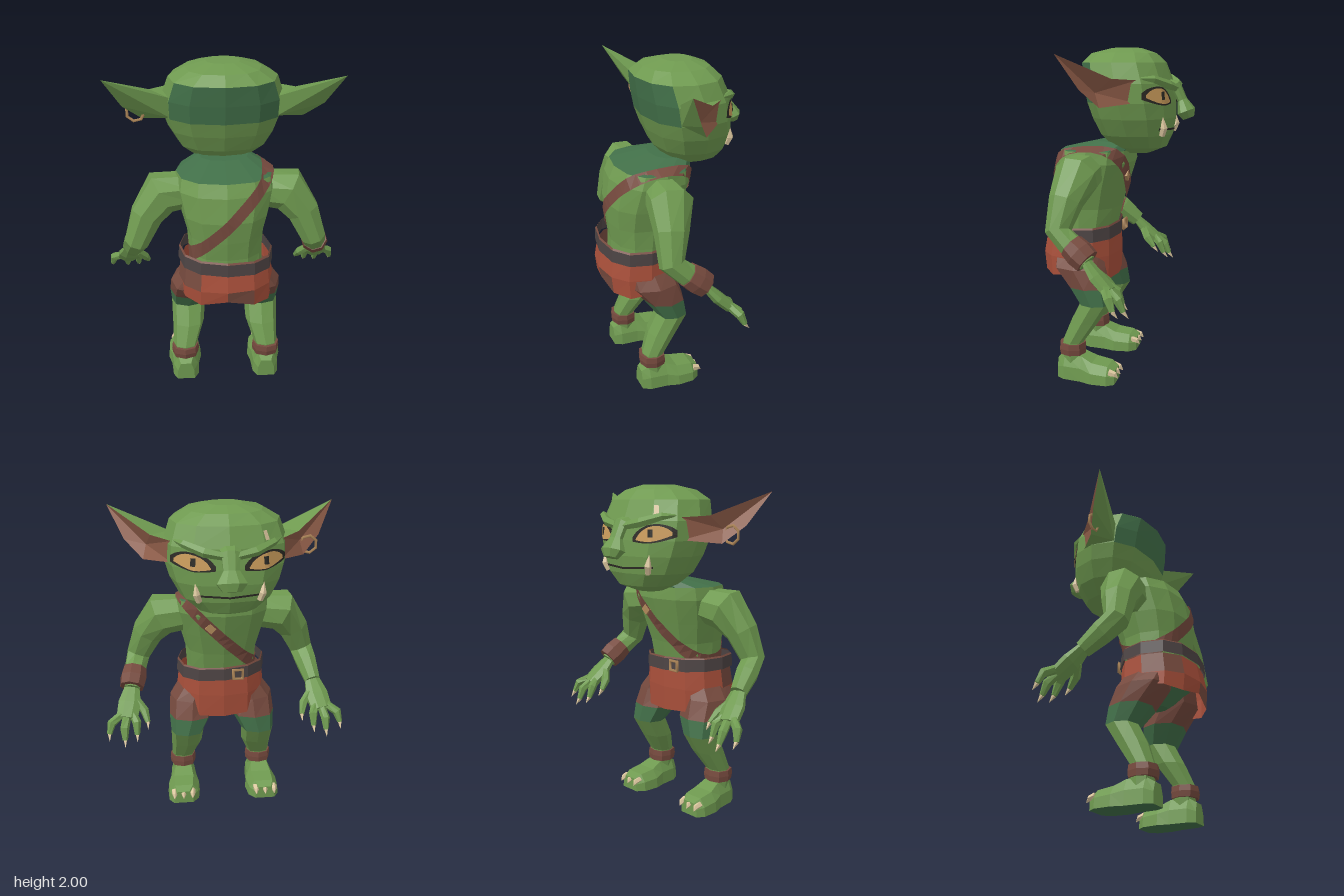
import * as THREE from 'three';

const V = (x, y, z) => new THREE.Vector3(x, y, z);
const mat = (name, color, side = THREE.FrontSide) => {
  const m = new THREE.MeshStandardMaterial({ color, side });
  m.name = name;
  return m;
};

// Faceted geometry from a list of triangle corners
function facets(points) {
  const g = new THREE.BufferGeometry().setFromPoints(points);
  g.computeVertexNormals();
  return g;
}

// Skin over a list of rings; pick(row, column) selects faces
function loft(rings, { caps = true, pick = () => true } = {}) {
  const out = [], n = rings[0].length;
  for (let i = 0; i < rings.length - 1; i++) for (let j = 0; j < n; j++) {
    if (!pick(i, j)) continue;
    const k = (j + 1) % n, a = rings[i][j], b = rings[i][k], c = rings[i + 1][k], d = rings[i + 1][j];
    out.push(a, d, b, b, d, c);
  }
  if (caps) [rings[0], rings[rings.length - 1]].forEach((r, e) => {
    const mid = r.reduce((s, p) => s.add(p), V(0, 0, 0)).divideScalar(n);
    r.forEach((p, j) => { const q = r[(j + 1) % n]; e ? out.push(mid, q, p) : out.push(mid, p, q); });
  });
  return facets(out);
}

// Horizontal ring: height, centre x, half width, back z, front z
function flatRing([y, cx, rx, back, front], n = 12, pow = 0.85) {
  const soft = v => Math.sign(v) * Math.abs(v) ** pow;
  return Array.from({ length: n }, (_, j) => {
    const a = j / n * Math.PI * 2;
    return V(cx + rx * soft(Math.cos(a)), y, (back + front) / 2 + (back - front) / 2 * soft(Math.sin(a)));
  });
}

// Limb along points [x, y, z, radius]
function limb(pts, n = 8, ref = V(0, 0, 1), flat = 1) {
  const c = pts.map(p => V(p[0], p[1], p[2]));
  return loft(c.map((p, i) => {
    const t = c[Math.min(i + 1, c.length - 1)].clone().sub(c[Math.max(i - 1, 0)]).normalize();
    const u = ref.clone().addScaledVector(t, -ref.dot(t)).normalize(), v = u.clone().cross(t);
    return Array.from({ length: n }, (_, j) => {
      const a = (j + 0.5) / n * Math.PI * 2, r = pts[i][3];
      return p.clone().addScaledVector(u, Math.cos(a) * r).addScaledVector(v, Math.sin(a) * r * flat);
    });
  }));
}

export function createModel() {
  const root = new THREE.Group();
  root.name = 'goblin';
  const DS = THREE.DoubleSide;
  const green = mat('skin green', 0x6f9a50, DS), teal = mat('dark green', 0x427049);
  const brown = mat('leather brown', 0x764a3e, DS), red = mat('cloth red', 0xa84f3a, DS);
  const earBrown = mat('ear brown', 0x8e5c48, DS), belt = mat('belt charcoal', 0x4c4343, DS);
  const bone = mat('bone', 0xd9c49c), amber = mat('eye amber', 0xcb9c5c, DS);
  const gold = mat('dull gold', 0xb0885a), dark = mat('dark line', 0x2c2a25, DS);
  const add = (name, g, m) => {
    const mesh = new THREE.Mesh(g, m);
    mesh.name = name;
    root.add(mesh);
    return mesh;
  };
  const ray = new THREE.Raycaster();
  const hit = (target, from, dir, off) => {
    ray.set(from, dir.clone().negate());
    const h = ray.intersectObjects(target, false)[0];
    return (h ? h.point.clone() : from.clone().addScaledVector(dir, -1.75)).addScaledVector(dir, off);
  };

  // Head with dark band at the back
  const headRings = [
    [1.385, 0, 0.08, -0.05, -0.2], [1.425, 0, 0.18, 0.02, -0.3], [1.5, 0, 0.27, 0.09, -0.335],
    [1.6, 0, 0.325, 0.135, -0.35], [1.69, 0, 0.352, 0.165, -0.345], [1.8, 0, 0.355, 0.185, -0.33],
    [1.915, 0, 0.315, 0.2, -0.285], [1.97, 0, 0.22, 0.15, -0.23], [2, 0, 0.1, 0.03, -0.14]].map(r => flatRing(r));
  const band = (i, j) => (i === 4 || i === 5) && j >= 1 && j <= 4;
  const head = add('head', loft(headRings, { pick: (i, j) => !band(i, j) }), green);
  add('headBand', loft(headRings, { caps: false, pick: band }), teal);

  // Thin face details that follow the head; a is the angle from the face centre
  function faceDetail(name, m, a0, a1, lo, hi, off) {
    const nx = 10, ny = 3, out = [];
    const at = (i, j) => {
      const t = i / nx, a = a0 + (a1 - a0) * t, y = lo(t) + (hi(t) - lo(t)) * j / ny;
      const dir = V(Math.sin(a), 0, -Math.cos(a));
      return hit([head], V(0, y, -0.08).addScaledVector(dir, 2), dir, off);
    };
    const s = a1 > a0 ? 1 : -1;
    for (let i = 0; i < nx; i++) for (let j = 0; j < ny; j++) {
      const a = at(i, j), b = at(i + 1, j), c = at(i + 1, j + 1), d = at(i, j + 1);
      s > 0 ? out.push(a, d, b, b, d, c) : out.push(a, b, d, b, c, d);
    }
    add(name, facets(out), m);
  }
  faceDetail('mouth', dark, -0.75, 0.75, t => 1.525 + 0.02 * Math.abs(t - 0.5), t => 1.537 + 0.02 * Math.abs(t - 0.5), 0.005);
  faceDetail('browScar', bone, -0.87, -0.77, t => 1.835, t => 1.885, 0.006);

  // Nose: root, bridge, bulb
  add('nose', limb([[0, 1.785, -0.3, 0.07], [0, 1.785, -0.35, 0.055], [0, 1.7, -0.39, 0.048],
    [0, 1.635, -0.415, 0.09], [0, 1.595, -0.43, 0.055]], 8, V(1, 0, 0), 0.6), green);

  // Torso with dark nape, leaning forward
  const torsoRings = [[0.78, 0, 0.22, 0.38, 0.05], [0.93, 0, 0.22, 0.375, 0.01], [1.05, 0, 0.228, 0.39, -0.02],
    [1.18, 0, 0.262, 0.4, -0.06], [1.33, 0, 0.295, 0.375, -0.105], [1.405, 0, 0.285, 0.34, -0.1]].map(r => flatRing(r));
  const torso = add('torso', loft(torsoRings), green);
  const nape = add('nape', loft([torsoRings[5], flatRing([1.455, 0, 0.15, 0.12, -0.12])]), teal);

  // Strap from the +x shoulder to the -x hip
  const strap = [], C = V(0.02, 1.18, 0.16), U = V(0.69, 0.72, 0), W = V(-0.72, 0.69, 0);
  const strapPoint = (k, e) => {
    const a = k / 32 * Math.PI * 2, dir = U.clone().multiplyScalar(Math.cos(a)).add(V(0, 0, Math.sin(a)));
    return hit([torso, nape], C.clone().addScaledVector(W, e * 0.035).addScaledVector(dir, 2), dir, 0.012);
  };
  for (let k = 0; k < 32; k++) {
    const a = strapPoint(k, -1), b = strapPoint(k + 1, -1), c = strapPoint(k + 1, 1), d = strapPoint(k, 1);
    strap.push(a, d, b, b, d, c);
  }
  add('shoulderStrap', facets(strap), brown);
  const clasp = add('strapClasp', new THREE.BoxGeometry(0.045, 0.05, 0.02), gold);
  clasp.position.copy(strapPoint(26, 0));
  clasp.rotation.z = -0.8;

  // Belt, buckle and ragged cloth
  const tilt = ring => ring.map(p => V(p.x, p.y - 0.04 * p.x, p.z));
  add('belt', loft([[0.87, 0, 0.285, 0.455, -0.015], [0.945, 0, 0.28, 0.45, -0.01]].map(r => tilt(flatRing(r))), { caps: false }), belt);
  add('beltTrim', loft([[0.945, 0, 0.28, 0.45, -0.01], [0.955, 0, 0.272, 0.442, -0.004]].map(r => tilt(flatRing(r))), { caps: false }), brown);
  const buckle = add('buckle', new THREE.TorusGeometry(0.042, 0.012, 4, 4).rotateZ(Math.PI / 4), gold);
  buckle.position.set(-0.09, 0.91, -0.016);
  const hem = [0.66, 0.64, 0.65, 0.69, 0.66, 0.68, 0.7, 0.66, 0.62, 0.61, 0.61, 0.64];
  const cloth = [[0.6, 0, 0.285, 0.45, -0.005], [0.76, 0, 0.285, 0.462, -0.01], [0.88, 0, 0.272, 0.44, -0.004]].map(r => flatRing(r));
  cloth[0].forEach((p, j) => { p.y = hem[j]; });
  const patch = (i, j) => i === 1 ? j === 4 || j === 5 : j === 2;
  add('loincloth', loft(cloth, { caps: false, pick: (i, j) => !patch(i, j) }), red);
  add('loinclothPatches', loft(cloth, { caps: false, pick: patch }), brown);
  add('crotch', loft([[0.645, 0, 0.05, 0.24, 0.1], [0.76, 0, 0.2, 0.36, 0.06]].map(r => flatRing(r))), teal);

  for (const s of [1, -1]) {
    const side = s > 0 ? 'left' : 'right';
    const P = pts => pts.map(([x, ...r]) => [x * s, ...r]);
    const R = list => list.map(([y, cx, ...r]) => flatRing([y, cx * s, ...r], 8));

    // Slanted eyes under heavy brows
    const low = t => 1.693 - 0.02 * Math.sin(t * Math.PI) + 0.03 * t;
    const high = t => 1.7 + 0.052 * Math.sin(t * Math.PI) ** 0.7 + 0.04 * t;
    faceDetail(side + 'EyeRim', dark, 0.3 * s, 1.16 * s, t => low(t) - 0.009, t => high(t) + 0.01, 0.005);
    faceDetail(side + 'Eye', amber, 0.39 * s, 1.08 * s, low, high, 0.009);
    faceDetail(side + 'Pupil', dark, 0.66 * s, 0.75 * s, t => 1.71, t => 1.755, 0.0125);
    add(side + 'Brow', limb(P([[0.03, 1.77, -0.355, 0.022], [0.14, 1.79, -0.335, 0.028], [0.25, 1.825, -0.27, 0.022], [0.3, 1.83, -0.2, 0.005]]), 5), green);
    add(side + 'Tusk', limb(P([[0.17, 1.505, -0.305, 0.018], [0.185, 1.55, -0.32, 0.021], [0.19, 1.615, -0.312, 0.002]]), 5), bone);

    // Swept ear: brown hollow inside, green outside
    const e = P([[0.31, 1.82, -0.19], [0.31, 1.695, -0.18], [0.31, 1.82, 0.06], [0.31, 1.7, 0.05],
      [0.425, 1.83, -0.075], [0.47, 1.675, -0.02], [0.575, 1.775, 0.06], [0.67, 1.96, 0.16], [0.45, 1.755, 0.01]]).map(p => V(...p));
    const tri = list => facets(list.flatMap(t => (s > 0 ? t : [t[0], t[2], t[1]]).map(i => e[i])));
    add(side + 'EarInner', tri([[0, 4, 8], [0, 8, 1], [1, 8, 5], [5, 8, 6], [6, 8, 7], [4, 7, 8]]), earBrown);
    add(side + 'EarOuter', tri([[0, 2, 4], [2, 7, 4], [2, 3, 7], [3, 6, 7], [3, 5, 6], [1, 5, 3]]), green);

    // Arm, flat palm and clawed fingers
    add(side + 'Arm', limb(P([[0.2, 1.29, 0.135, 0.108], [0.375, 1.277, 0.145, 0.133], [0.465, 1.15, 0.18, 0.1],
      [0.53, 0.99, 0.205, 0.076], [0.553, 0.92, 0.125, 0.07], [0.578, 0.83, 0.02, 0.052]])), green);
    add(side + 'Palm', limb(P([[0.575, 0.84, 0.03, 0.048], [0.595, 0.76, -0.04, 0.075], [0.615, 0.69, -0.115, 0.07]]), 8, V(1, 0, 0), 0.5), green);
    for (const [a, b, c] of [
      [[0.55, 0.77, -0.03], [0.505, 0.715, -0.07], [0.487, 0.66, -0.12]],
      [[0.575, 0.71, -0.1], [0.555, 0.675, -0.145], [0.555, 0.605, -0.175]],
      [[0.615, 0.7, -0.11], [0.63, 0.65, -0.17], [0.63, 0.585, -0.2]],
      [[0.65, 0.71, -0.1], [0.71, 0.675, -0.14], [0.725, 0.615, -0.165]]]) {
      add(side + 'Finger', limb(P([[...a, 0.026], [...b, 0.028], [...c, 0.016]]), 6), green);
      add(side + 'Claw', limb(P([[...c, 0.014], [c[0], c[1] - 0.035, c[2] - 0.03, 0.001]]), 4), bone);
    }

    // Leg: short trouser, dark thigh, shin, ankle wrap
    const thigh = [0.585, 0.205, 0.14, 0.25, -0.005], knee = [0.48, 0.232, 0.106, 0.175, -0.015];
    add(side + 'Trouser', loft(R([thigh, [0.7, 0.195, 0.14, 0.35, 0.03], [0.8, 0.15, 0.11, 0.36, 0.06]])), brown);
    add(side + 'Thigh', loft(R([knee, thigh])), teal);
    add(side + 'Shin', loft(R([[0.1, 0.262, 0.07, 0.28, 0.15], [0.23, 0.258, 0.075, 0.285, 0.15],
      [0.36, 0.235, 0.1, 0.235, 0.06], knee])), green);
    add(side + 'AnkleWrap', loft(R([[0.155, 0.26, 0.083, 0.3, 0.14], [0.19, 0.26, 0.087, 0.307, 0.138], [0.225, 0.26, 0.083, 0.303, 0.142]])), brown);

    // Foot with dark sole: sections [z, centre x, half width, height] from toes to heel
    const foot = [[-0.065, 0.275, 0.065, 0.085], [-0.02, 0.27, 0.1, 0.108], [0.08, 0.265, 0.108, 0.12], [0.15, 0.262, 0.09, 0.15],
      [0.26, 0.26, 0.082, 0.15], [0.307, 0.26, 0.055, 0.12]].map(([z, cx, w, h]) =>
      [[-1, 0], [-0.95, 0.55], [-0.6, 1], [0.6, 1], [0.95, 0.55], [1, 0]].map(([x, y]) => V(cx * s + x * w, y * h, z)));
    add(side + 'Foot', loft(foot, { pick: (i, j) => j !== 5 }), green);
    add(side + 'Sole', loft(foot, { caps: false, pick: (i, j) => j === 5 }), teal);
    for (const x of [0.215, 0.275, 0.335])
      add(side + 'ToeClaw', limb(P([[x, 0.075, -0.03, 0.022], [x, 0.067, -0.067, 0.017], [x, 0.045, -0.088, 0.001]]), 5, V(1, 0, 0)), bone);
  }

  // Wristband and earring
  add('wristband', limb([[0.556, 0.92, 0.12, 0.076], [0.567, 0.88, 0.07, 0.084], [0.578, 0.84, 0.02, 0.077]]), brown);
  const ring = add('earring', new THREE.TorusGeometry(0.052, 0.009, 4, 7), gold);
  ring.position.set(-0.505, 1.725, 0.02);

  return root;
}
